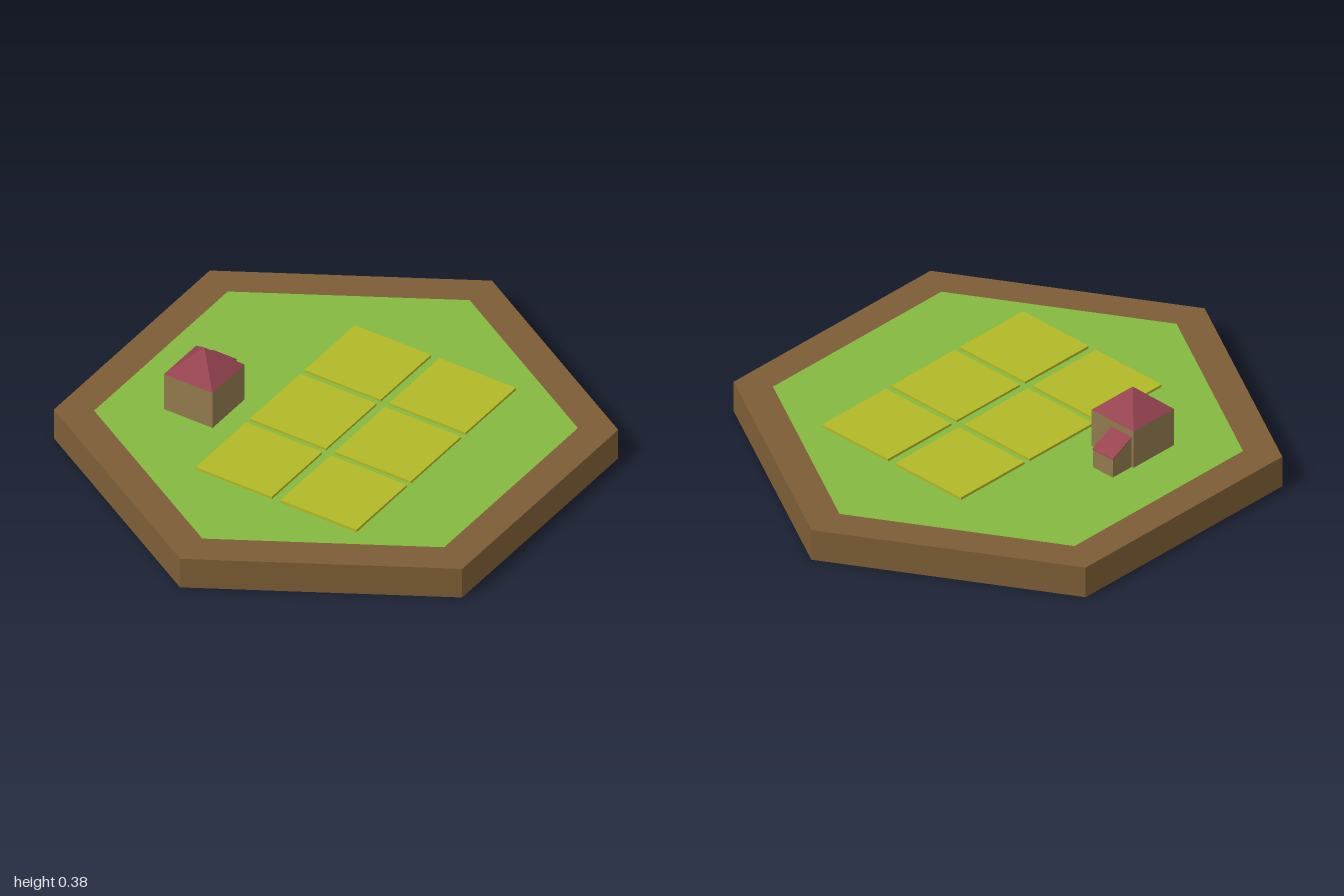
import * as THREE from 'three';

const material = (color) => new THREE.MeshStandardMaterial({ color, flatShading: true });

export function createModel() {
  const model = new THREE.Group();
  const soil = material(0x7d5e36);
  const green = material(0x85b840);
  const crop = material(0xb2b826);
  const wall = material(0x917a4e);
  const red = material(0x964450);

  const add = (parent, name, geometry, mat, x = 0, y = 0, z = 0) => {
    const mesh = new THREE.Mesh(geometry, mat);
    mesh.name = name;
    mesh.position.set(x, y, z);
    parent.add(mesh);
    return mesh;
  };

  // Hexagonal soil slab, corners pointing to front and back
  const TOP = 0.125;
  add(model, 'soilBase', new THREE.CylinderGeometry(1, 1, TOP, 6), soil, 0, TOP / 2);

  // Grass, very slightly uneven away from its border
  const grass = new THREE.RingGeometry(0, 0.857, 6, 4, Math.PI / 2).rotateX(-Math.PI / 2);
  const p = grass.attributes.position;
  for (let i = 0; i < p.count; i++) {
    const x = p.getX(i), z = p.getZ(i);
    const inner = Math.hypot(x, z) < 0.8 ? 1 : 0;
    p.setY(i, 0.0015 + inner * 0.0015 * (1 + Math.sin(5 * x + 1) * Math.cos(4 * z)));
  }
  grass.computeVertexNormals();
  add(model, 'grass', grass, green, 0, TOP);

  // Two columns of three crop fields
  const fields = new THREE.Group();
  fields.name = 'fields';
  model.add(fields);
  for (const x of [-0.086, 0.273]) {
    for (const z of [-0.334, 0.016, 0.364]) {
      add(fields, 'field', new THREE.BoxGeometry(0.323, 0.018, 0.323), crop, x, 0.129, z);
    }
  }

  // House with a pyramid roof
  const house = new THREE.Group();
  house.name = 'house';
  model.add(house);
  const hx = -0.438, hz = 0.182, size = 0.206;
  add(house, 'houseWalls', new THREE.BoxGeometry(size, 0.16, size), wall, hx, 0.2, hz);
  const roof = new THREE.ConeGeometry(size / Math.SQRT2, 0.096, 4).rotateY(Math.PI / 4);
  add(house, 'houseRoof', roof, red, hx, 0.328, hz);

  // Lean-to behind the house: side profiles in (z, y), extruded across x
  const acrossX = (points, width) => {
    const shape = new THREE.Shape(points.map(([z, y]) => new THREE.Vector2(z, y)));
    return new THREE.ExtrudeGeometry(shape, { depth: width, bevelEnabled: false })
      .rotateY(-Math.PI / 2);
  };
  const walls = [[-0.017, 0.12], [0.085, 0.12], [0.085, 0.254], [-0.017, 0.203]];
  const slope = [[-0.018, 0.202], [0.085, 0.2535], [0.085, 0.257], [-0.018, 0.2055]];
  add(house, 'leanToWalls', acrossX(walls, 0.098), wall, -0.434);
  add(house, 'leanToRoof', acrossX(slope, 0.1), red, -0.433);

  return model;
}
